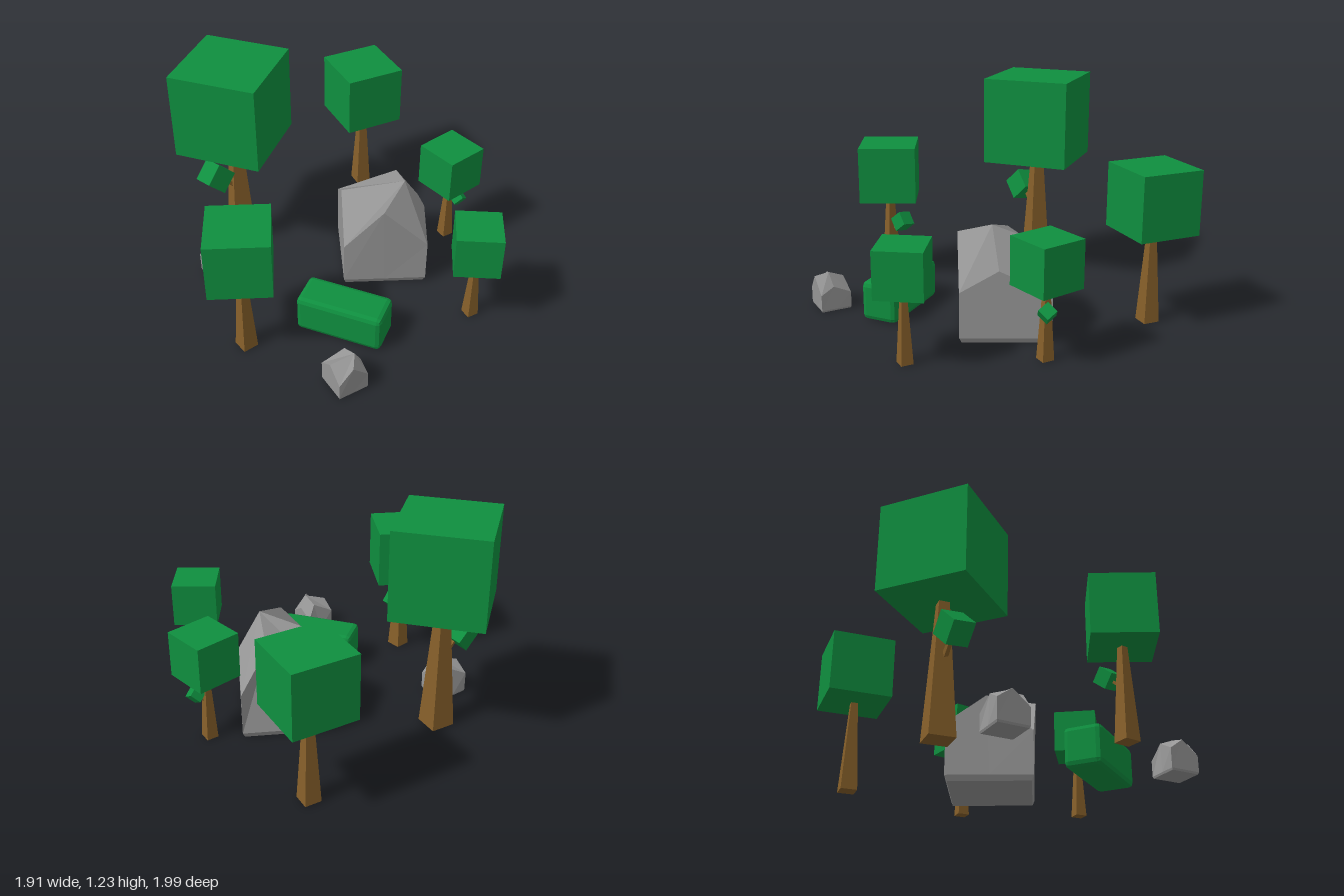
import * as THREE from 'three';
import { RoundedBoxGeometry } from 'three/addons/geometries/RoundedBoxGeometry.js';

const deg = THREE.MathUtils.degToRad;

// Faceted shading: split every face and give it its own normal
function facet(geometry) {
  const g = geometry.index ? geometry.toNonIndexed() : geometry;
  g.computeVertexNormals();
  return g;
}

// Square-section tapering post standing on y = 0
function taperedPost(bottom, top, height) {
  const g = new THREE.CylinderGeometry(top * Math.SQRT1_2, bottom * Math.SQRT1_2, height, 4);
  g.rotateY(Math.PI / 4).translate(0, height / 2, 0);
  return facet(g);
}

// Boulder: a squarish block with raised edge points and an off-centre peak
function boulderGeometry() {
  const rim = [
    [-0.34, 0.33, 0.015], [-0.175, 0.49, 0.16], [0.015, 0.28, 0.335], [0.175, 0.53, 0.185],
    [0.34, 0.28, -0.01], [0.19, 0.40, -0.15], [-0.01, 0.27, -0.34], [-0.06, 0.51, -0.185],
  ];
  const peak = [0.13, 0.61, -0.035];
  const n = rim.length;
  // Straight-sided footprint through the four corners
  const footprint = (y, s) => rim.map((p, i) => {
    if (i % 2 === 0) return [p[0] * s, y, p[2] * s];
    const a = rim[i - 1], b = rim[(i + 1) % n];
    return [(a[0] + b[0]) / 2 * s, y, (a[2] + b[2]) / 2 * s];
  });
  const rings = [footprint(0, 0.95), footprint(0.03, 1), rim];
  const pos = [];
  const tri = (a, b, c) => pos.push(...a, ...b, ...c);
  for (let i = 0; i < n; i++) {
    const j = (i + 1) % n;
    tri([0, 0, 0], rings[0][j], rings[0][i]);
    for (let k = 0; k < 2; k++) {
      const lo = rings[k], hi = rings[k + 1];
      tri(lo[i], lo[j], hi[j]);
      tri(lo[i], hi[j], hi[i]);
    }
    tri(peak, rim[i], rim[j]);
  }
  const g = new THREE.BufferGeometry();
  g.setAttribute('position', new THREE.Float32BufferAttribute(pos, 3));
  return facet(g);
}

export function createModel() {
  const leaf = new THREE.MeshStandardMaterial({ color: 0x0f8f3f });
  const bark = new THREE.MeshStandardMaterial({ color: 0x87602a });
  const stone = new THREE.MeshStandardMaterial({ color: 0x969696 });
  leaf.name = 'leafGreen';
  bark.name = 'barkBrown';
  stone.name = 'stoneGrey';

  const model = new THREE.Group();
  model.name = 'grove';

  function add(parent, name, geometry, material) {
    const mesh = new THREE.Mesh(geometry, material);
    mesh.name = name;
    parent.add(mesh);
    return mesh;
  }

  // Trees: cube crown, tapered trunk and sometimes a leafy side twig
  const trees = [
    { name: 'largeTree', x: -0.63, z: 0.18, crown: 0.497, y: 0.735, turn: 25, trunk: 0.138, trunkTurn: -20,
      twig: { from: [0, 0.41, 0.02], to: [-0.03, 0.53, 0.14], size: 0.13 } },
    { name: 'backTree', x: -0.522, z: -0.775, crown: 0.355, y: 0.52, turn: -20, trunk: 0.092, trunkTurn: -20 },
    { name: 'smallBackTree', x: 0.24, z: -0.722, crown: 0.257, y: 0.388, turn: -6.5, trunk: 0.066, trunkTurn: -15,
      twig: { from: [0, 0.22, 0], to: [0.04, 0.275, -0.045], size: 0.066 } },
    { name: 'frontTree', x: 0.055, z: 0.757, crown: 0.332, y: 0.5, turn: 47, trunk: 0.088, trunkTurn: -8,
      twig: { from: [0, 0.28, 0], to: [-0.02, 0.355, -0.09], size: 0.085 } },
    { name: 'sideTree', x: 0.778, z: -0.275, crown: 0.25, y: 0.377, turn: 40, trunk: 0.066, trunkTurn: -17 },
  ];
  for (const t of trees) {
    const tree = new THREE.Group();
    tree.name = t.name;
    tree.position.set(t.x, 0, t.z);
    model.add(tree);

    const crown = add(tree, 'crown', new THREE.BoxGeometry(t.crown, t.crown, t.crown), leaf);
    crown.position.y = t.y + t.crown / 2;
    crown.rotation.y = deg(t.turn);

    const trunk = add(tree, 'trunk', taperedPost(t.trunk, t.trunk * 0.4, t.y + 0.01), bark);
    trunk.rotation.y = deg(t.trunkTurn);

    if (t.twig) {
      const from = new THREE.Vector3(...t.twig.from);
      const to = new THREE.Vector3(...t.twig.to);
      const dir = to.clone().sub(from);
      const s = t.twig.size;
      const twig = add(tree, 'twig', taperedPost(s * 0.2, s * 0.12, dir.length()), bark);
      twig.position.copy(from);
      twig.quaternion.setFromUnitVectors(new THREE.Vector3(0, 1, 0), dir.clone().normalize());
      const tuft = add(tree, 'twigLeaves', new THREE.BoxGeometry(s, s, s), leaf);
      tuft.position.copy(to);
      tuft.quaternion.copy(twig.quaternion);
    }
  }

  // Hedge with chamfered edges
  const hedge = add(model, 'hedge', facet(new RoundedBoxGeometry(0.49, 0.22, 0.21, 1, 0.028)), leaf);
  hedge.position.set(0.35, 0.11, 0.3);
  hedge.rotation.y = deg(22);

  // Boulders: one large, two small
  const boulder = boulderGeometry();
  const rocks = [
    ['largeBoulder', 0.095, -0.285, 1, 0],
    ['leftBoulder', -0.475, 0.482, 0.37, 29],
    ['rightBoulder', 0.625, 0.585, 0.36, 28],
  ];
  for (const [name, x, z, scale, turn] of rocks) {
    const rock = add(model, name, boulder, stone);
    rock.position.set(x, 0, z);
    rock.scale.setScalar(scale);
    rock.rotation.y = deg(turn);
  }

  return model;
}
